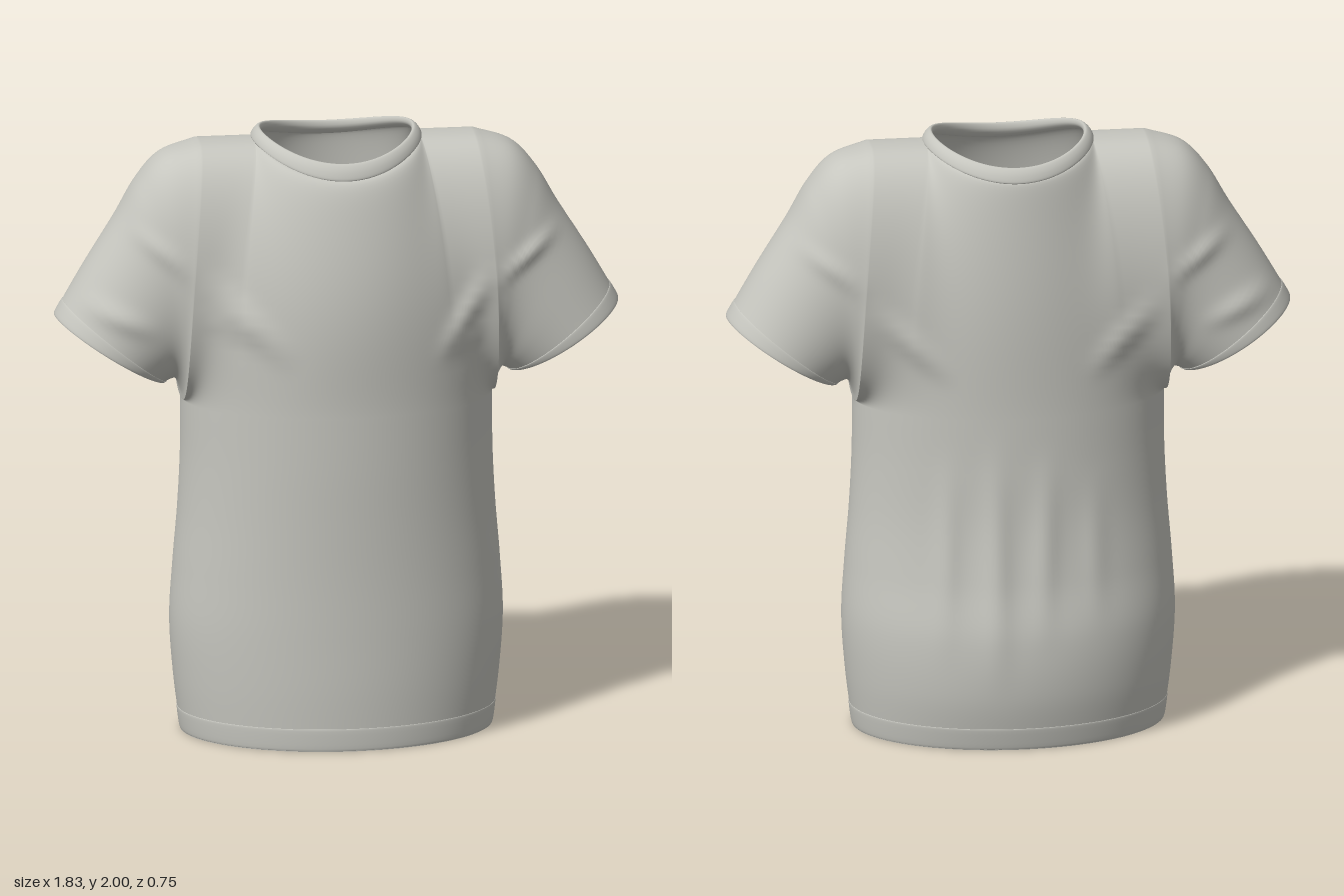
import * as THREE from 'three';
import { mergeGeometries, mergeVertices } from 'three/addons/utils/BufferGeometryUtils.js';

const { lerp } = THREE.MathUtils;
const V = (x, y, z = 0) => new THREE.Vector3(x, y, z);
const spline = (pts) => new THREE.CatmullRomCurve3(pts.map((p) => V(...p)), false, 'catmullrom');

const ARMPIT_Y = 1.11, ARMHOLE_DEPTH = 0.24, NECK_R = 0.27;
const ROWS = 36, COLS = 96;

// Torso half width, front depth and back depth at even heights, hem to armpit
const torsoProfile = spline([
  [0.505, 0.35, 0.335], [0.528, 0.355, 0.37], [0.54, 0.355, 0.37], [0.53, 0.355, 0.335],
  [0.515, 0.358, 0.312], [0.506, 0.362, 0.305], [0.505, 0.364, 0.304],
]);
// Upper and lower edge of the sleeve, armhole to cuff (x, y, depth)
const sleeveTop = spline([
  [0.45, 1.965, ARMHOLE_DEPTH], [0.57, 1.925, 0.228], [0.65, 1.84, 0.217],
  [0.72, 1.72, 0.21], [0.82, 1.56, 0.205], [0.915, 1.395, 0.2],
]);
const sleeveBottom = spline([
  [0.505, ARMPIT_Y], [0.508, 1.135], [0.516, 1.16], [0.527, 1.18], [0.54, 1.18], [0.56, 1.17],
]);

// Surface grid from a rule f(u, v), with u and v in 0..1
function grid(f, nu, nv, flip = false) {
  const pos = [], index = [];
  for (let j = 0; j <= nv; j++)
    for (let i = 0; i <= nu; i++) pos.push(...f(i / nu, j / nv).toArray());
  for (let j = 0; j < nv; j++)
    for (let i = 0; i < nu; i++) {
      const a = j * (nu + 1) + i, b = a + 1, c = a + nu + 1, d = c + 1;
      index.push(...(flip ? [a, d, b, a, c, d] : [a, b, d, a, d, c]));
    }
  const g = new THREE.BufferGeometry();
  g.setAttribute('position', new THREE.Float32BufferAttribute(pos, 3));
  g.setIndex(index);
  return g;
}

// Closed band: a small cross-section carried round a ring
function band(ringPoint, section) {
  const loop = spline(section);
  loop.closed = true;
  const g = mergeVertices(grid((u, v) => ringPoint(u * Math.PI * 2, loop.getPoint(v)), 96, 24, true));
  g.computeVertexNormals();
  return g;
}

// Torso below the armpits; angle 0 faces the front
function torsoPoint(angle, t, offset = 0) {
  const p = torsoProfile.getPoint(t);
  const depth = Math.cos(angle) >= 0 ? p.y : p.z;
  return V((p.x + offset) * Math.sin(angle), ARMPIT_Y * t, (depth + offset) * Math.cos(angle));
}

// Neckline heights: low at front and back, high at the shoulders
const neckSeamY = (a) => 1.965 - (Math.cos(a) > 0 ? 0.08 : 0.065) * Math.cos(a) ** 2;
const neckTopY = (a) => 1.997 - (Math.cos(a) > 0 ? 0.062 : 0.052) * Math.cos(a) ** 2;

// Fullness of the armhole section, rounder towards the cuff
const sectionDepth = (angle, t) => {
  const s = Math.sin(angle);
  return Math.sign(s) * Math.abs(s) ** lerp(0.75, 1, t);
};

// Chest or back panel from the armpits to the shoulder line and neck
function yokePoint(u, v, side) {
  const k = u * 2 - 1, angle = (k * Math.PI) / 2;
  const s = (1 - Math.cos(Math.PI * v)) / 2;
  let topX, topY, topZ = 0;
  if (Math.abs(k) <= 0.5) {
    const a = k * Math.PI;
    topX = NECK_R * Math.sin(a);
    topZ = NECK_R * Math.cos(a);
    topY = neckSeamY(side > 0 ? a : Math.PI - a);
  } else {
    topX = Math.sign(k) * lerp(NECK_R, 0.45, Math.abs(k) * 2 - 1);
    topY = 1.965;
  }
  const p = torsoProfile.getPoint(1);
  const x = lerp(p.x * Math.sin(angle), topX, s * s);
  const chest = (side > 0 ? 0.02 : 0.01) * 16 * (s * (1 - s)) ** 2;
  const depth = ((side > 0 ? p.y : p.z) + chest) * Math.cos(angle);
  const z = Math.max(0, lerp(topZ, depth, Math.sqrt(1 - s * s)));
  const reach = Math.sin(Math.min(1, Math.abs(k) * 2) * Math.PI / 2);
  const arm = ARMHOLE_DEPTH * Math.max(0, sectionDepth(Math.PI * v, 0)) * reach;
  return V(x, lerp(ARMPIT_Y, topY, s), side * (z ** 6 + arm ** 6) ** (1 / 6));
}

// Left sleeve; angle 0 is the underside, PI the top, passing the front
function sleevePoint(angle, t, offset = 0) {
  const top = sleeveTop.getPoint(t), low = sleeveBottom.getPoint(t);
  const length = Math.hypot(top.x - low.x, top.y - low.y);
  const s = (1 - Math.cos(angle) * (1 + (2 * offset) / length)) / 2;
  return V(lerp(low.x, top.x, lerp(s * s, s, t)), lerp(low.y, top.y, s),
    (top.z + offset) * sectionDepth(angle, t));
}

// Cloth folds: x0, y0, x1, y1, height, width, side (1 front, -1 back)
const folds = [
  [-0.50, 1.60, -0.16, 1.27, 0.020, 0.035, 1], [-0.50, 1.47, -0.26, 1.36, 0.010, 0.03, 1],
  [0.50, 1.58, 0.28, 1.26, 0.020, 0.035, 1], [0.47, 1.40, 0.33, 1.28, 0.010, 0.03, 1],
  [0.46, 1.50, 0.74, 1.70, 0.016, 0.025, 1], [-0.46, 1.55, -0.72, 1.74, 0.012, 0.03, 1],
  [-0.90, 1.50, -0.58, 1.36, 0.016, 0.035, 1], [-0.90, 1.50, -0.58, 1.36, 0.014, 0.035, -1],
  [0.46, 1.52, 0.74, 1.70, 0.012, 0.03, -1], [-0.46, 1.52, -0.74, 1.70, 0.014, 0.03, -1],
  [0.50, 1.50, 0.20, 1.22, 0.016, 0.035, -1], [-0.50, 1.50, -0.20, 1.22, 0.016, 0.035, -1],
  [0.08, 1.10, 0.08, 0.15, 0.018, 0.045, -1], [-0.09, 1.05, -0.07, 0.30, 0.013, 0.04, -1],
  [0.23, 1.05, 0.25, 0.25, 0.013, 0.04, -1], [-0.24, 0.95, -0.25, 0.35, 0.008, 0.04, -1],
];
function foldHeight(x, y, side) {
  let h = 0;
  for (const [x0, y0, x1, y1, height, width, s] of folds) {
    if (s !== side) continue;
    const dx = x1 - x0, dy = y1 - y0, len = Math.hypot(dx, dy);
    const along = ((x - x0) * dx + (y - y0) * dy) / (len * len);
    if (along <= 0 || along >= 1) continue;
    const across = ((x - x0) * dy - (y - y0) * dx) / len;
    h += height * Math.sin(Math.PI * along) ** 2 * Math.exp(-((across / width) ** 2));
  }
  return h;
}

// Torso, yoke and sleeves welded into one smooth open shell
function shirtShell() {
  const parts = [];
  for (const side of [1, -1]) {
    const turn = (u) => (side > 0 ? (u - 0.5) * Math.PI : Math.PI - (u - 0.5) * Math.PI);
    parts.push(grid((u, v) => torsoPoint(turn(u), v), COLS, 48, side < 0));
    parts.push(grid((u, v) => yokePoint(u, v, side), COLS, ROWS, side < 0));
    for (const mirror of [1, -1])
      parts.push(grid((u, v) => {
        const p = sleevePoint(v * Math.PI, u);
        return V(p.x * mirror, p.y, p.z * side);
      }, 36, ROWS, side * mirror < 0));
  }
  const g = mergeVertices(mergeGeometries(parts), 1e-4);
  const pos = g.attributes.position;
  for (let i = 0; i < pos.count; i++) {
    const z = pos.getZ(i), side = z >= 0 ? 1 : -1;
    const fade = Math.min(1, Math.abs(z) / 0.12);
    pos.setZ(i, z + side * fade * foldHeight(pos.getX(i), pos.getY(i), side));
  }
  g.computeVertexNormals();
  return g;
}

export function createModel() {
  const group = new THREE.Group();
  const cloth = new THREE.MeshStandardMaterial({ color: 0xc6c6bf, side: THREE.DoubleSide });
  cloth.name = 'greyCloth';
  const add = (name, geometry) => {
    const mesh = new THREE.Mesh(geometry, cloth);
    mesh.name = name;
    group.add(mesh);
  };

  add('shirtBody', shirtShell());

  // Neckband: section x = radius, y = 0 at the seam and 1 at the rim
  add('neckband', band((a, q) => V(
    q.x * Math.sin(a), lerp(neckSeamY(a), neckTopY(a), q.y), q.x * Math.cos(a)),
  [[0.272, -0.05], [0.276, 0.1], [0.268, 0.6], [0.255, 0.98], [0.246, 0.96], [0.244, 0.5], [0.26, 0]]));

  // Bottom hem: section x = offset from the cloth, y = height
  add('hem', band((a, q) => torsoPoint(a, q.y / ARMPIT_Y, q.x),
    [[-0.002, 0.075], [0.002, 0.068], [0.002, 0.01], [-0.003, 0.001], [-0.009, 0.01], [-0.009, 0.068]]));

  // Cuffs: section x = offset, y = position along the sleeve
  const cuffSection = [[-0.002, 0.94], [0.002, 0.946], [0.002, 0.992], [-0.003, 1], [-0.009, 0.992], [-0.009, 0.946]];
  for (const [name, mirror] of [['leftCuff', 1], ['rightCuff', -1]])
    add(name, band((a, q) => {
      const p = sleevePoint(-a * mirror, q.y, q.x);
      return V(p.x * mirror, p.y, p.z);
    }, cuffSection));

  return group;
}
